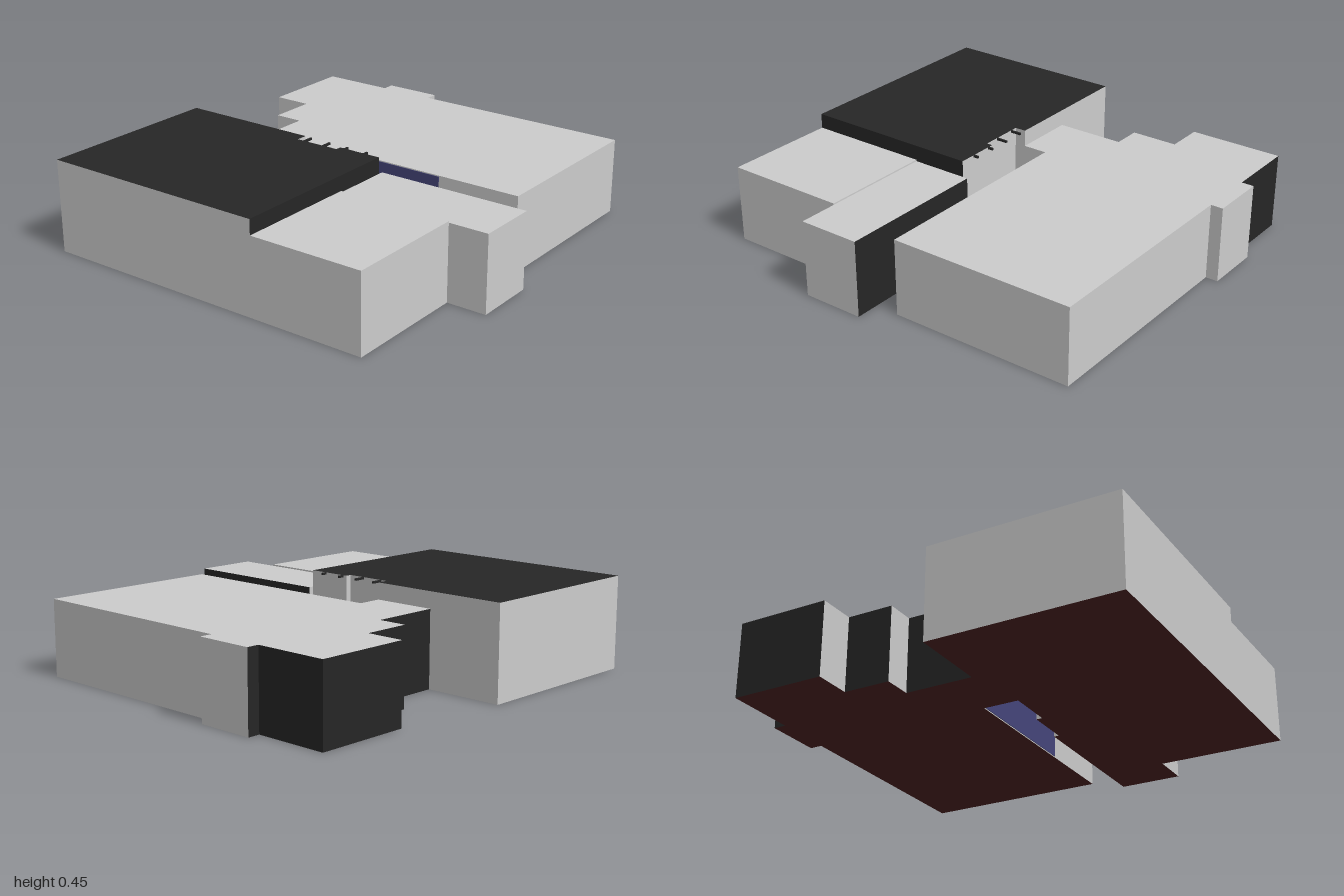
import * as THREE from 'three';
import { mergeGeometries } from 'three/addons/utils/BufferGeometryUtils.js';

const paint = (color) => new THREE.MeshStandardMaterial({ color });
const grey = paint(0xcccccc);
const dark = paint(0x262626);
const floorRed = paint(0x4c2323);
const blue = paint(0x45457a);

// Flat cap over a plan of [x, z] corners; up or down facing
function cap(plan, y, up) {
  const s = up ? -1 : 1;
  const shape = new THREE.Shape(plan.map(([x, z]) => new THREE.Vector2(x, s * z)));
  return new THREE.ShapeGeometry(shape).rotateX(s * Math.PI / 2).translate(0, y, 0);
}

// Vertical wall; plans run from front-left corner along +x, then toward -z
function wall([x0, z0], [x1, z1], h) {
  return new THREE.PlaneGeometry(Math.hypot(x1 - x0, z1 - z0), h)
    .rotateY(Math.atan2(z0 - z1, x1 - x0))
    .translate((x0 + x1) / 2, h / 2, (z0 + z1) / 2);
}

// Flat-roofed building; darkEdges lists the plan edges with a dark wall
function building(name, plan, h, roof, darkEdges = []) {
  const group = new THREE.Group();
  group.name = name;
  const add = (part, geometry, material) => {
    const mesh = new THREE.Mesh(geometry, material);
    mesh.name = part;
    group.add(mesh);
  };
  const light = [], black = [];
  plan.forEach((p, i) => {
    (darkEdges.includes(i) ? black : light).push(wall(p, plan[(i + 1) % plan.length], h));
  });
  add('walls', mergeGeometries(light), grey);
  if (black.length) add('darkWalls', mergeGeometries(black), dark);
  add('roof', cap(plan, h, true), roof);
  add('underside', cap(plan, 0, false), floorRed);
  return group;
}

function block(name, w, h, d, x, y, z, material) {
  const mesh = new THREE.Mesh(new THREE.BoxGeometry(w, h, d), material);
  mesh.name = name;
  mesh.position.set(x, y, z);
  return mesh;
}

export function createModel() {
  const model = new THREE.Group();
  model.name = 'buildings';

  // Tall rear hall with a stepped recess on its inner side
  model.add(building('tallHall', [
    [-1, 0.19], [-0.11, 0.19], [-0.11, -0.03], [-0.14, -0.03], [-0.14, -0.255],
    [-0.085, -0.255], [-0.085, -0.95], [-1, -0.95],
  ], 0.45, dark, [0]));

  // Small beams over the recess
  for (const z of [-0.22, -0.11, -0.005, 0.105]) {
    model.add(block('beam', 0.06, 0.01, 0.01, -0.115, 0.445, z, dark));
  }

  // Low front wings
  model.add(building('lowWing', [
    [-1, 0.755], [-0.39, 0.755], [-0.39, 0.19], [-1, 0.19],
  ], 0.377, grey));
  model.add(building('frontWing', [
    [-0.39, 0.95], [-0.085, 0.95], [-0.085, 0.19], [-0.39, 0.19],
  ], 0.37, grey, [1]));

  // Large wing with stepped back and a side bay, joined to the hall by a link
  model.add(building('largeWing', [
    [0.035, 0.835], [0.94, 0.835], [0.94, -0.255], [1, -0.255], [1, -0.535],
    [0.94, -0.535], [0.94, -0.89], [0.48, -0.89], [0.48, -0.705], [0.25, -0.705],
    [0.25, -0.565], [-0.085, -0.565], [-0.085, -0.255], [0.035, -0.255],
  ], 0.37, grey, [4, 5, 6, 8, 10]));

  // Blue facing on the wall along the passage
  model.add(block('passagePanel', 0.004, 0.36, 0.67, 0.034, 0.185, 0.085, blue));

  return model;
}
